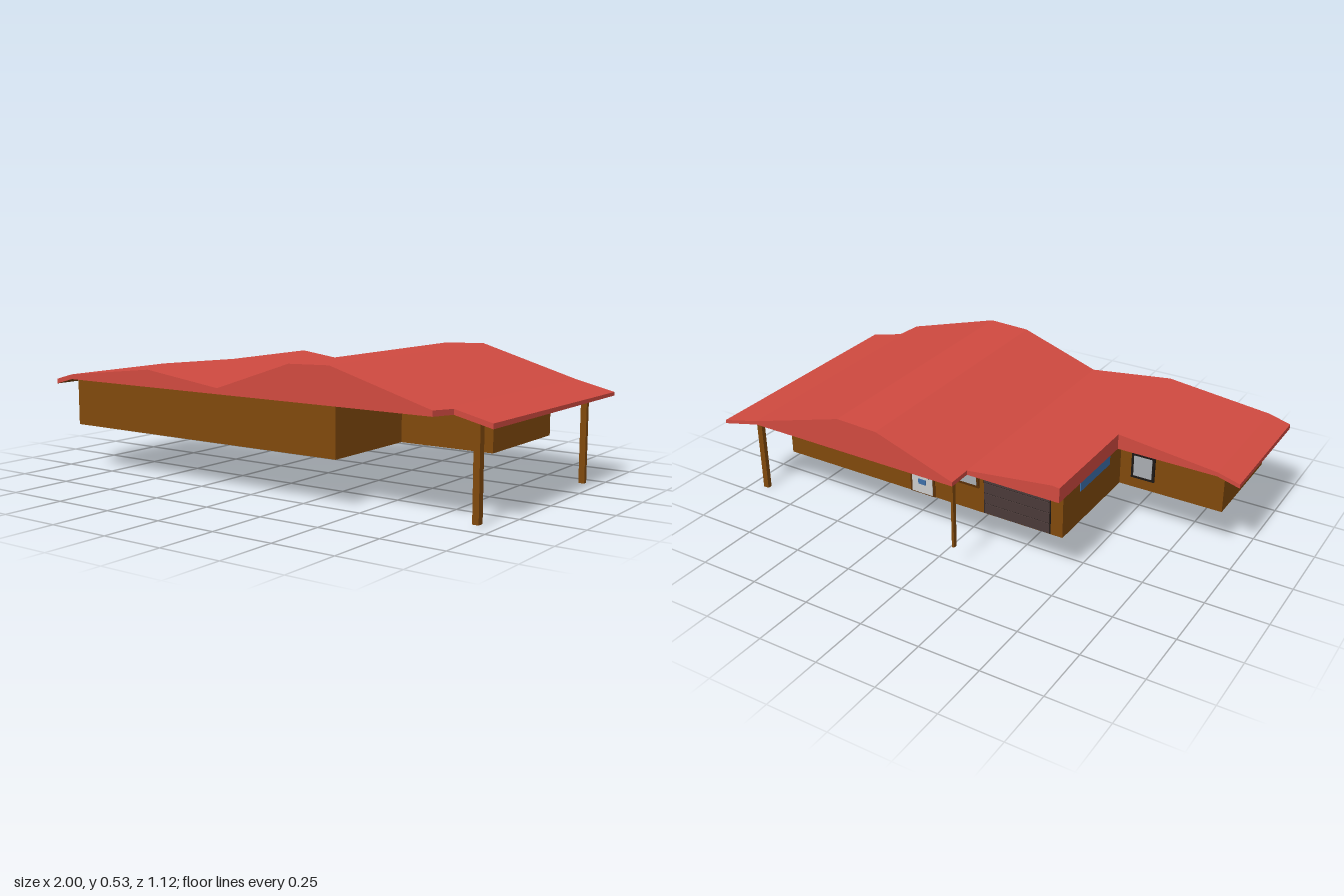
import * as THREE from 'three';

const mat = (color, side = THREE.FrontSide) =>
  new THREE.MeshStandardMaterial({ color, side, flatShading: true });

// Height of a polyline [[x, y], ...] at x
function heightAt(line, x) {
  for (let i = 1; i < line.length; i++) {
    const [x0, y0] = line[i - 1], [x1, y1] = line[i];
    if (x <= x1) return y0 + (y1 - y0) * (x - x0) / (x1 - x0);
  }
  return line[line.length - 1][1];
}

const TOP = [[-1, 0.375], [-0.91, 0.40], [-0.47, 0.45], [-0.11, 0.405],
  [0.23, 0.52], [0.41, 0.526], [0.83, 0.405], [1, 0.365]];
const UNDER = [[-1, 0.355], [-0.91, 0.38], [0.83, 0.384], [1, 0.345]];
const WALL_BOTTOM = 0.185, WALL_TOP = 0.383, BACK_Z = -0.39;

const topPoint = (x, z) => [x, heightAt(TOP, x) - 0.008 * (0.56 - z), z];
const underPoint = (x, z) => [x, heightAt(UNDER, x) - 0.003 * (0.56 - z), z];

function quadMesh(name, quads, material) {
  const pos = [];
  for (const [a, b, c, d] of quads) pos.push(...a, ...b, ...c, ...a, ...c, ...d);
  const g = new THREE.BufferGeometry();
  g.setAttribute('position', new THREE.Float32BufferAttribute(pos, 3));
  g.computeVertexNormals();
  const m = new THREE.Mesh(g, material);
  m.name = name;
  return m;
}

function makeRoof() {
  const roof = new THREE.Group();
  roof.name = 'roof';
  const xs = [-1, -0.91, -0.5, -0.47, -0.11, 0.23, 0.41, 0.83, 0.85, 1];
  const back = (mid) => (mid < -0.5 ? 0.01 : mid < -0.11 ? -0.46 : -0.56);
  const front = (x) => (x <= 0.83 ? 0.56 : 0.455);
  const red = [], brown = [];
  // Strips running front to back, closed by gable faces
  for (let i = 0; i + 1 < xs.length; i++) {
    const a = xs[i], b = xs[i + 1], zb = back((a + b) / 2), fa = front(a), fb = front(b);
    red.push([topPoint(a, fa), topPoint(b, fb), topPoint(b, zb), topPoint(a, zb)]);
    brown.push([underPoint(a, zb), underPoint(b, zb), underPoint(b, fb), underPoint(a, fa)]);
    red.push([underPoint(a, fa), underPoint(b, fb), topPoint(b, fb), topPoint(a, fa)]);
    red.push([underPoint(b, zb), underPoint(a, zb), topPoint(a, zb), topPoint(b, zb)]);
  }
  // Side edges and the steps of the outline
  for (const [x, z0, z1] of [[-1, 0.01, 0.56], [-0.5, -0.46, 0.01], [-0.11, -0.56, -0.46]])
    red.push([underPoint(x, z0), underPoint(x, z1), topPoint(x, z1), topPoint(x, z0)]);
  red.push([underPoint(1, 0.455), underPoint(1, -0.56), topPoint(1, -0.56), topPoint(1, 0.455)]);
  roof.add(quadMesh('roofTop', red, mat(0xd04a40)));
  roof.add(quadMesh('soffit', brown, mat(0x7a450c, THREE.DoubleSide)));
  return roof;
}

export function createModel() {
  const house = new THREE.Group();
  house.name = 'house';
  const wood = mat(0x80490c), dark = mat(0x1c1715), panel = mat(0x4a3a38),
    white = mat(0xd8d8d8), blue = mat(0x3d6ea8), glass = mat(0xa9adb2);

  // Box given by its extents on each axis
  function box(parent, name, material, [x0, x1], [y0, y1], [z0, z1]) {
    const m = new THREE.Mesh(new THREE.BoxGeometry(x1 - x0, y1 - y0, z1 - z0), material);
    m.position.set((x0 + x1) / 2, (y0 + y1) / 2, (z0 + z1) / 2);
    m.name = name;
    parent.add(m);
    return m;
  }

  house.add(makeRoof());

  // Thin walls around a stepped floor plan, open below
  const walls = new THREE.Group();
  walls.name = 'walls';
  house.add(walls);
  const t = 0.006;
  const plan = [[-0.909, 0.514], [0.404, 0.514], [0.404, 0.079], [0.799, 0.079],
    [0.799, BACK_Z + t], [-0.474, BACK_Z + t], [-0.474, 0.091], [-0.909, 0.091]];
  plan.forEach(([x, z], i) => {
    const [u, w] = plan[(i + 1) % plan.length];
    box(walls, 'wall', wood, [Math.min(x, u) - t, Math.max(x, u) + t],
      [WALL_BOTTOM, WALL_TOP], [Math.min(z, w) - t, Math.max(z, w) + t]);
  });

  // Roof posts
  box(house, 'frontPost', wood, [0.918, 0.943], [0.008, 0.37], [0.41, 0.438]);
  box(house, 'backPost', wood, [0.918, 0.943], [0, 0.368], [-0.443, -0.424]);
  box(house, 'entryPost', wood, [-0.103, -0.093], [0.102, 0.383], [-0.547, -0.529]);

  // Back-facing window with a frame and a row of panes
  function window(name, [x0, x1], [y0, y1], z, panes, frame) {
    const g = new THREE.Group();
    g.name = name;
    box(g, 'frame', frame, [x0, x1], [y0, y1], [z - 0.006, z]);
    const gap = 0.011, w = (x1 - x0 - gap) / panes;
    for (let i = 0; i < panes; i++) {
      const a = x0 + gap + i * w;
      box(g, 'pane', glass, [a, a + w - gap], [y0 + gap, y1 - gap], [z - 0.008, z]);
    }
    house.add(g);
  }
  const frameBrown = mat(0x5a3008);
  window('tripleWindow', [0.37, 0.655], [0.285, 0.375], BACK_Z, 3, frameBrown);
  window('entryWindow', [-0.12, -0.02], [0.29, 0.375], BACK_Z, 1, frameBrown);
  window('wingWindow', [-0.63, -0.53], [0.23, 0.34], 0.085, 1, dark);
  box(house, 'windowSill', mat(0x8a3020), [0.37, 0.655], [0.268, 0.28], [BACK_Z - 0.014, BACK_Z]);

  // Entry door with blue panes and a knob
  const door = new THREE.Group();
  door.name = 'entryDoor';
  house.add(door);
  box(door, 'doorFrame', frameBrown, [0.085, 0.2], [WALL_BOTTOM, 0.377], [BACK_Z - 0.003, BACK_Z]);
  box(door, 'doorLeaf', white, [0.095, 0.19], [0.19, 0.37], [BACK_Z - 0.006, BACK_Z]);
  for (const y of [0.24, 0.285, 0.33])
    box(door, 'doorPane', blue, [0.125, 0.16], [y - 0.011, y + 0.011], [BACK_Z - 0.008, BACK_Z]);
  const knob = new THREE.Mesh(new THREE.SphereGeometry(0.006, 10, 8), dark);
  knob.name = 'doorKnob';
  knob.position.set(0.107, 0.27, BACK_Z - 0.009);
  door.add(knob);

  // Garage door of stacked panels
  const garage = new THREE.Group();
  garage.name = 'garageDoor';
  house.add(garage);
  box(garage, 'garageBacking', dark, [-0.43, -0.14], [0.187, 0.37], [BACK_Z - 0.002, BACK_Z]);
  for (let i = 0; i < 4; i++) {
    const y = 0.19 + i * 0.045;
    box(garage, 'garagePanel', panel, [-0.426, -0.144], [y, y + 0.041], [BACK_Z - 0.006, BACK_Z]);
  }

  // High strip window on the garage side wall
  box(house, 'sideWindow', blue, [-0.484, -0.478], [0.32, 0.365], [-0.26, -0.02]);

  return house;
}
